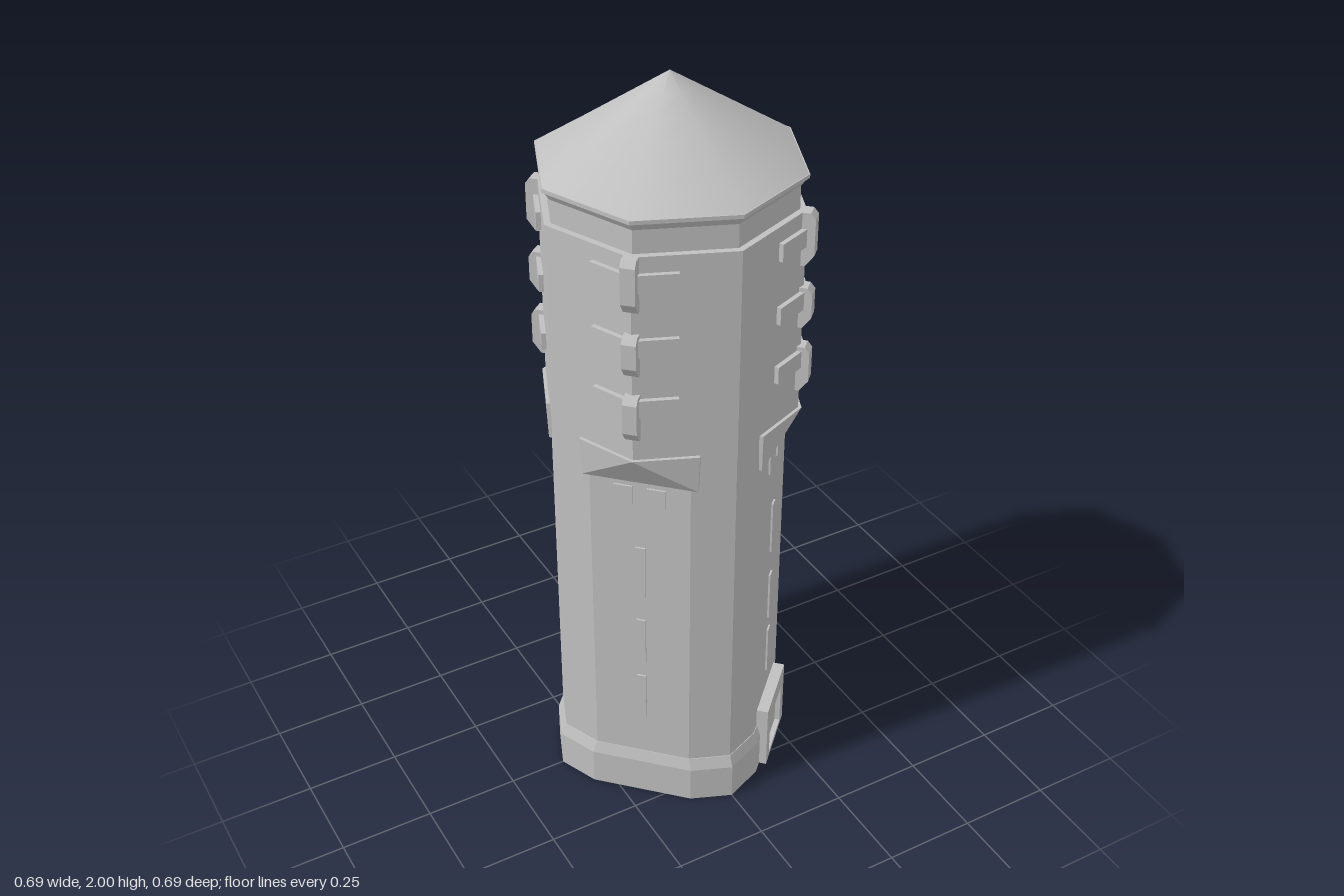
import * as THREE from 'three';
import { ConvexGeometry } from 'three/addons/geometries/ConvexGeometry.js';

const stone = new THREE.MeshStandardMaterial({ color: 0xc0c0c0 });
stone.name = 'grey stone';

function add(parent, name, geometry, x = 0, y = 0, z = 0) {
  const mesh = new THREE.Mesh(geometry, stone);
  mesh.name = name;
  mesh.position.set(x, y, z);
  parent.add(mesh);
  return mesh;
}

// Faceted eight-sided drum with corners on the axes and diagonals
function drum(rTop, rBottom, y0, y1) {
  const g = new THREE.CylinderGeometry(rTop, rBottom, y1 - y0, 8).toNonIndexed();
  g.computeVertexNormals();
  return g.translate(0, (y0 + y1) / 2, 0);
}

// Octagon with its diagonal corners cut flat: r = axis corner, (cx, cz) = end of the cut
function cutOctagon(y, r, cx, cz) {
  const ring = [];
  for (let k = 0; k < 4; k++) {
    for (const [x, z] of [[0, r], [cx, cz], [cz, cx]]) {
      ring.push(new THREE.Vector3(x, y, z).applyAxisAngle(new THREE.Vector3(0, 1, 0), k * Math.PI / 2));
    }
  }
  return ring;
}

// Skin a stack of rings with flat faces and close both ends
function loft(rings) {
  const pts = [];
  const n = rings[0].length;
  const low = rings[0], high = rings[rings.length - 1];
  const cLow = new THREE.Vector3(0, low[0].y, 0), cHigh = new THREE.Vector3(0, high[0].y, 0);
  for (let i = 0; i < n; i++) {
    const j = (i + 1) % n;
    for (let k = 0; k < rings.length - 1; k++) {
      const a = rings[k], b = rings[k + 1];
      pts.push(a[i], a[j], b[j], a[i], b[j], b[i]);
    }
    pts.push(cHigh, high[i], high[j], cLow, low[j], low[i]);
  }
  const g = new THREE.BufferGeometry().setFromPoints(pts);
  g.computeVertexNormals();
  return g;
}

// Vertical fin, profile drawn as radius against height
function finGeometry(top, bottom) {
  const shape = new THREE.Shape([
    [0.30, bottom], [0.335, bottom], [0.357, bottom + 0.03],
    [0.357, top - 0.015], [0.345, top], [0.30, top],
  ].map(p => new THREE.Vector2(...p)));
  const width = 0.036;
  return new THREE.ExtrudeGeometry(shape, { depth: width, bevelEnabled: false })
    .translate(0, 0, -width / 2).rotateY(-Math.PI / 2);
}

// Wedge easing the flat shaft side out to the octagon corner (local +z is the diagonal)
function corbelGeometry() {
  const pts = [];
  for (const s of [-1, 1]) {
    pts.push(new THREE.Vector3(s * 0.152, 1.14, 0.279), new THREE.Vector3(s * 0.148, 1.035, 0.277));
    pts.push(new THREE.Vector3(s * 0.148, 1.14, 0.2), new THREE.Vector3(s * 0.145, 1.035, 0.2));
  }
  pts.push(new THREE.Vector3(0, 1.14, 0.341));
  return new ConvexGeometry(pts);
}

function createSide() {
  const side = new THREE.Group();
  side.name = 'diagonalSide';
  const flat = 0.277;
  add(side, 'corbel', corbelGeometry());

  // Small paired windows and tall slits
  for (const s of [-1, 1]) {
    add(side, 'smallWindow', new THREE.BoxGeometry(0.048, 0.055, 0.009), s * 0.043, 0.995, flat);
  }
  for (const [y0, y1] of [[0.265, 0.41], [0.455, 0.6], [0.68, 0.835]]) {
    add(side, 'slitWindow', new THREE.BoxGeometry(0.025, y1 - y0, 0.009), 0, (y0 + y1) / 2, flat);
  }

  // Corner fins with a bar on each neighbouring wall
  const tilt = Math.PI / 8, length = 0.11;
  for (const [top, bottom, barY] of [[1.69, 1.55, 1.625], [1.49, 1.38, 1.455], [1.325, 1.2, 1.29]]) {
    add(side, 'cornerFin', finGeometry(top, bottom));
    for (const s of [-1, 1]) {
      const bar = add(side, 'wallBar', new THREE.BoxGeometry(length, 0.047, 0.026),
        s * Math.cos(tilt) * length / 2, barY, 0.331 - Math.sin(tilt) * length / 2);
      bar.rotation.y = s * tilt;
    }
  }
  return side;
}

function createDoor() {
  const door = new THREE.Group();
  door.name = 'door';
  const w = 0.1025, h = 0.195, iw = 0.067;
  const frame = new THREE.Shape([[-w, 0], [w, 0], [w, h], [-w, h]].map(p => new THREE.Vector2(...p)));
  frame.holes.push(new THREE.Path([[-iw, 0.015], [-iw, 0.14], [iw, 0.14], [iw, 0.015]]
    .map(p => new THREE.Vector2(...p))));
  add(door, 'doorFrame', new THREE.ExtrudeGeometry(frame, { depth: 0.058, bevelEnabled: false }), 0, 0, 0.25);
  add(door, 'doorPanel', new THREE.BoxGeometry(iw * 2, 0.125, 0.04), 0, 0.0775, 0.274);
  return door;
}

export function createModel() {
  const model = new THREE.Group();
  model.name = 'tower';

  // Plinth with bevelled top, then the shaft and octagonal upper wall
  add(model, 'plinth', loft([
    cutOctagon(0, 0.345, 0.106, 0.301),
    cutOctagon(0.105, 0.345, 0.106, 0.301),
    cutOctagon(0.138, 0.332, 0.104, 0.289),
  ]));
  add(model, 'shaft', loft([
    cutOctagon(0.1, 0.33, 0.104, 0.287),
    cutOctagon(1.14, 0.33, 0.104, 0.287),
  ]));
  add(model, 'upperWall', drum(0.332, 0.332, 1.13, 1.69));

  // Neck, flared eaves and pointed roof
  add(model, 'neck', drum(0.315, 0.315, 1.69, 1.752));
  add(model, 'eaves', drum(0.333, 0.315, 1.75, 1.775));
  add(model, 'roofRim', drum(0.335, 0.335, 1.772, 1.782));
  add(model, 'roof', new THREE.ConeGeometry(0.335, 0.22, 8, 6), 0, 1.89, 0);

  for (let k = 0; k < 4; k++) {
    const side = createSide();
    side.rotation.y = Math.PI / 4 + k * Math.PI / 2;
    model.add(side);
  }
  const door = createDoor();
  door.rotation.y = Math.PI / 4;
  model.add(door);
  return model;
}
